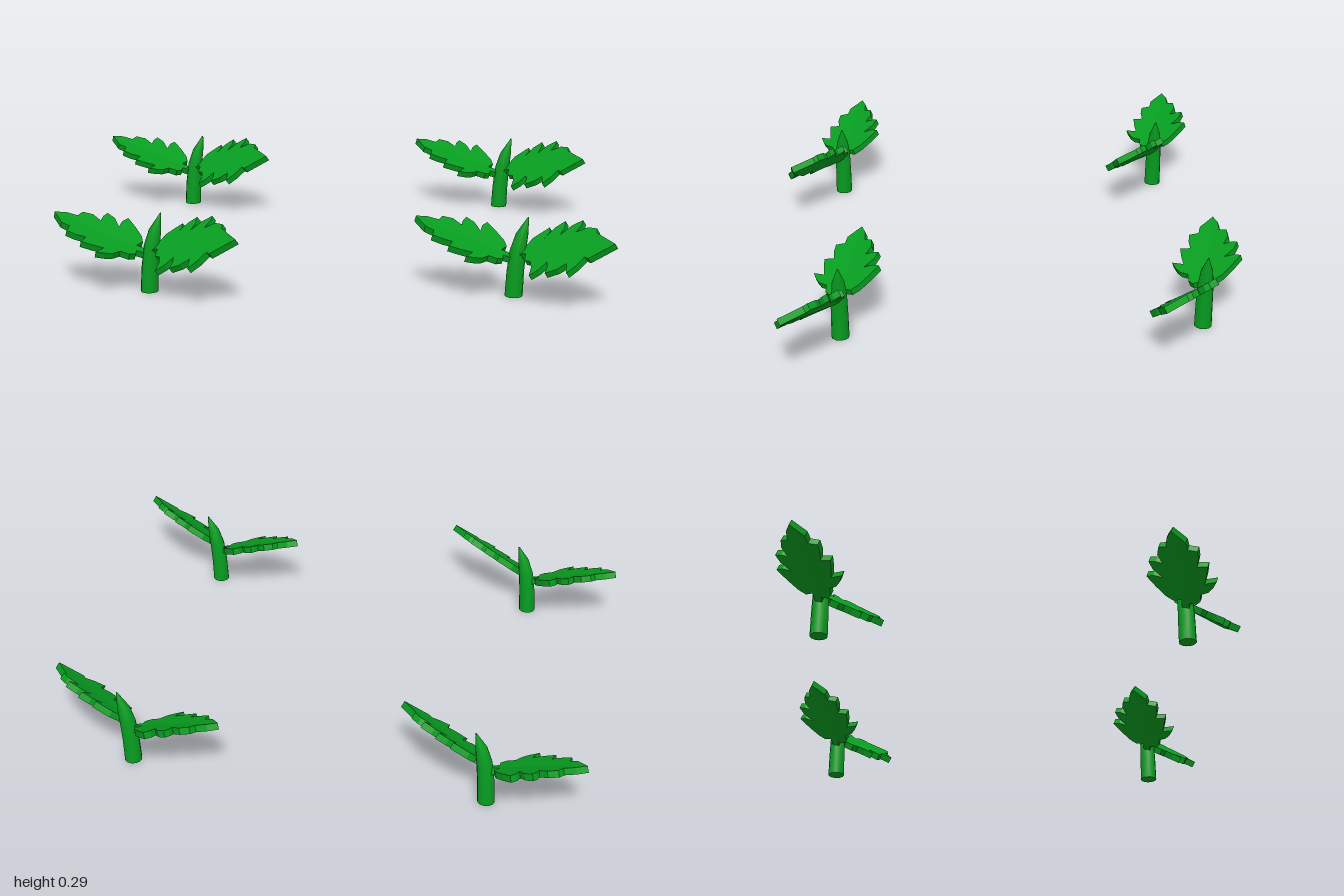
import * as THREE from 'three';

const green = new THREE.MeshStandardMaterial({ color: 0x079d20 });
green.name = 'leaf green';

// Leaf outlines as [x, z] seen from above, one list per side of the midrib, base to tip
const longLeaf = {
  tip: [-0.349, -0.088],
  sides: [
    [[0, -0.012], [-0.045, -0.02], [-0.025, -0.045], [-0.033, -0.072], [-0.06, -0.11], [-0.092, -0.147],
      [-0.11, -0.125], [-0.118, -0.092], [-0.138, -0.13], [-0.167, -0.147], [-0.18, -0.125], [-0.185, -0.1],
      [-0.215, -0.122], [-0.253, -0.122], [-0.268, -0.098], [-0.31, -0.1]],
    [[0, 0.012], [-0.04, 0.01], [-0.04, 0.032], [-0.06, 0.045], [-0.093, 0.042], [-0.114, 0.067], [-0.14, 0.08],
      [-0.173, 0.088], [-0.15, 0.05], [-0.19, 0.052], [-0.232, 0.05], [-0.22, 0.015], [-0.255, 0.016],
      [-0.29, 0.008], [-0.285, -0.025], [-0.315, -0.035]],
  ],
  plane: [0.138, -0.262, -0.36],
};
const broadLeaf = {
  tip: [0.341, 0.195],
  sides: [
    [[0, -0.008], [0.047, 0.003], [0.073, -0.015], [0.132, -0.019], [0.132, 0], [0.112, 0.014], [0.15, -0.006],
      [0.186, -0.008], [0.183, 0.015], [0.165, 0.035], [0.205, 0.025], [0.244, 0.029], [0.24, 0.045],
      [0.218, 0.06], [0.26, 0.07], [0.287, 0.094], [0.285, 0.11]],
    [[0, 0.015], [0.047, 0.03], [0.041, 0.061], [0.06, 0.08], [0.062, 0.11], [0.052, 0.142], [0.085, 0.138],
      [0.115, 0.122], [0.115, 0.145], [0.105, 0.168], [0.145, 0.178], [0.178, 0.174], [0.175, 0.217],
      [0.21, 0.205], [0.239, 0.184], [0.25, 0.2]],
  ],
  plane: [0.15, 0.58, -0.53],
};

// Two slabs meeting in a shallow valley along the midrib, laid on a tilted plane
function makeLeaf(name, { tip, sides, plane: [c, a, b] }) {
  const leaf = new THREE.Group();
  leaf.name = name;
  const thickness = 0.025, fold = 0.08;
  const length = Math.hypot(...tip);
  const normal = new THREE.Vector3(-a, 1, -b).normalize();
  sides.forEach((side, i) => {
    const points = [[0, 0], ...side, tip].map(([x, z]) => new THREE.Vector2(x, -z));
    const geo = new THREE.ExtrudeGeometry(new THREE.Shape(points), { depth: thickness, bevelEnabled: false });
    geo.rotateX(-Math.PI / 2);
    const pos = geo.attributes.position;
    for (let k = 0; k < pos.count; k++) {
      const x = pos.getX(k), z = pos.getZ(k), h = pos.getY(k) - thickness / 2;
      const away = Math.abs(x * tip[1] - z * tip[0]) / length;
      const y = c + a * x + b * z + fold * (away - 0.05);
      pos.setXYZ(k, x + normal.x * h, y + normal.y * h, z + normal.z * h);
    }
    geo.computeVertexNormals();
    const half = new THREE.Mesh(geo, green);
    half.name = name + (i ? 'FrontHalf' : 'BackHalf');
    leaf.add(half);
  });
  return leaf;
}

// Round stem that leans sideways and narrows to a point; rings are [y, x offset, radius]
function makeStem() {
  const rings = [[0, 0.004, 0.032], [0.09, 0.008, 0.031], [0.17, 0.016, 0.029], [0.23, 0.029, 0.022], [0.29, 0.05, 0.002]];
  const last = rings.length - 1;
  const geo = new THREE.CylinderGeometry(1, 1, 1, 12, last);
  const pos = geo.attributes.position;
  for (let k = 0; k < pos.count; k++) {
    const [y, dx, r] = rings[Math.round((pos.getY(k) + 0.5) * last)];
    pos.setXYZ(k, pos.getX(k) * r + dx, y, pos.getZ(k) * r);
  }
  geo.computeVertexNormals();
  const stem = new THREE.Mesh(geo, green);
  stem.name = 'stem';
  return stem;
}

export function createModel() {
  const model = new THREE.Group();
  model.name = 'seedlings';
  const sprout = new THREE.Group();
  sprout.add(makeStem(), makeLeaf('rightLeaf', longLeaf), makeLeaf('leftLeaf', broadLeaf));

  // Four identical sprouts in a square
  for (const x of [-0.648, 0.655]) {
    for (const z of [-0.69, 0.615]) {
      const copy = sprout.clone();
      copy.name = 'sprout';
      copy.position.set(x, 0, z);
      model.add(copy);
    }
  }
  return model;
}
